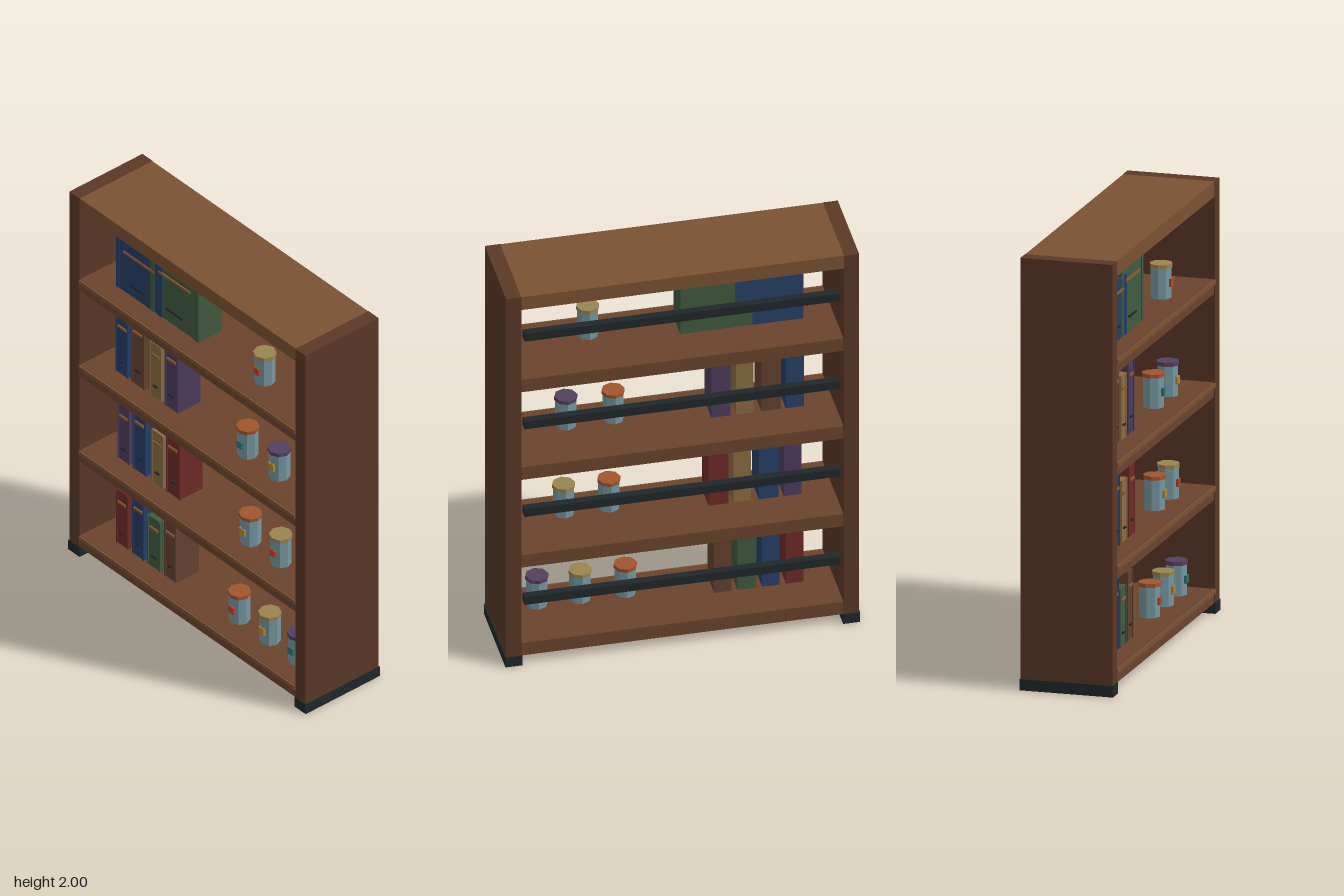
import * as THREE from 'three';

const mats = {};
const mat = (color) => (mats[color] ??= new THREE.MeshStandardMaterial({ color }));
const WOOD = 0x5a3826, SHELF = 0x6a432c, TRIM = 0x7a5232, DARK = 0x20272b;
const RED = 0x6e2a26, BLUE = 0x263f66, GREEN = 0x3f5a40, BROWN = 0x63412f, TAN = 0x8a6c42, PURPLE = 0x4b3c5e;
const GOLD = 0x8a5a30, GLASS = 0x7596a0, ORANGE = 0xa0552c, STRAW = 0x9a8450, VIOLET = 0x54405f;
const TEAL = 0x2f7070, YELLOW = 0xb08a2c, SCARLET = 0xb84428;

function box(parent, name, color, x0, x1, y0, y1, z0, z1) {
  const m = new THREE.Mesh(new THREE.BoxGeometry(x1 - x0, y1 - y0, z1 - z0), mat(color));
  m.position.set((x0 + x1) / 2, (y0 + y1) / 2, (z0 + z1) / 2);
  m.name = name;
  parent.add(m);
  return m;
}

// Upright book: block, raised hinge edges and two spine bands
function book(parent, x0, x1, y0, y1, color, front = 0.118) {
  const g = new THREE.Group();
  g.name = 'book';
  const w = x1 - x0, h = y1 - y0, c = (x0 + x1) / 2;
  box(g, 'bookBlock', color, x0, x1, y0, y1, -0.015, front);
  for (const s of [-1, 1]) {
    const e = c + s * w * 0.46;
    box(g, 'hingeEdge', color, e - w * 0.04, e + w * 0.04, y0, y1, front - 0.01, 0.122);
  }
  const yb = y0 + h * 0.79, yd = y0 + h * 0.22;
  box(g, 'spineBand', GOLD, c - w * 0.33, c + w * 0.33, yb - 0.006, yb + 0.006, front - 0.01, 0.125);
  box(g, 'spineMark', DARK, c - w * 0.17, c + w * 0.17, yd - 0.004, yd + 0.004, front - 0.01, 0.125);
  parent.add(g);
}

// Eight-sided jar with lid and front label
function jar(parent, x, y, lidColor, labelColor) {
  const g = new THREE.Group();
  g.name = 'jar';
  const drum = (name, r, h, cy, color) => {
    const geo = new THREE.CylinderGeometry(r, r, h, 8).toNonIndexed();
    geo.computeVertexNormals();
    const m = new THREE.Mesh(geo, mat(color));
    m.position.y = cy;
    m.name = name;
    g.add(m);
  };
  drum('jarBody', 0.049, 0.142, 0.071, GLASS);
  drum('jarLid', 0.053, 0.018, 0.15, lidColor);
  box(g, 'jarLabel', labelColor, -0.018, 0.018, 0.055, 0.091, 0.04, 0.052);
  g.position.set(x, y, 0.078);
  parent.add(g);
}

export function createModel() {
  const root = new THREE.Group();
  root.name = 'bookcase';

  // Frame
  for (const s of [-1, 1]) {
    const c = s * 0.775;
    box(root, 'sidePanel', WOOD, c - 0.035, c + 0.035, 0.04, 2, -0.216, 0.216);
    box(root, 'foot', DARK, c - 0.039, c + 0.039, 0, 0.052, -0.219, 0.219);
  }
  box(root, 'topPanel', TRIM, -0.742, 0.742, 1.93, 2, -0.214, 0.214);

  // Contents of each shelf: books [x0, x1, top, colour], jars [x, lid, label]
  const levels = [
    { y: 0.115,
      books: [[-0.6, -0.52, 0.41, RED], [-0.49, -0.41, 0.445, BLUE], [-0.385, -0.297, 0.388, GREEN], [-0.27, -0.19, 0.435, BROWN]],
      jars: [[0.197, ORANGE, SCARLET], [0.405, STRAW, YELLOW], [0.603, VIOLET, TEAL]] },
    { y: 0.593,
      books: [[-0.59, -0.51, 0.902, PURPLE], [-0.485, -0.395, 0.934, BLUE], [-0.36, -0.278, 0.88, TAN], [-0.255, -0.165, 0.923, RED]],
      jars: [[0.272, ORANGE, YELLOW], [0.48, STRAW, SCARLET]] },
    { y: 1.07,
      books: [[-0.603, -0.519, 1.4, BLUE], [-0.497, -0.407, 1.437, BROWN], [-0.37, -0.29, 1.368, TAN], [-0.265, -0.177, 1.412, PURPLE]],
      jars: [[0.253, ORANGE, TEAL], [0.47, VIOLET, YELLOW]] },
    { y: 1.547,
      books: [[-0.6, -0.285, 1.825, BLUE, 0.12], [-0.365, -0.035, 1.857, GREEN]],
      jars: [[0.37, STRAW, SCARLET]] },
  ];

  // Shelves with front trim, back rails and contents
  for (const { y, books, jars } of levels) {
    box(root, 'shelf', SHELF, -0.742, 0.742, y - 0.067, y, -0.21, 0.212);
    box(root, 'shelfTrim', TRIM, -0.74, 0.74, y - 0.022, y - 0.002, 0.2, 0.221);
    box(root, 'backRail', DARK, -0.725, 0.725, y + 0.207, y + 0.249, -0.212, -0.175);
    for (const [x0, x1, top, color, front] of books) book(root, x0, x1, y, top, color, front);
    for (const [x, lid, label] of jars) jar(root, x, y, lid, label);
  }
  return root;
}
